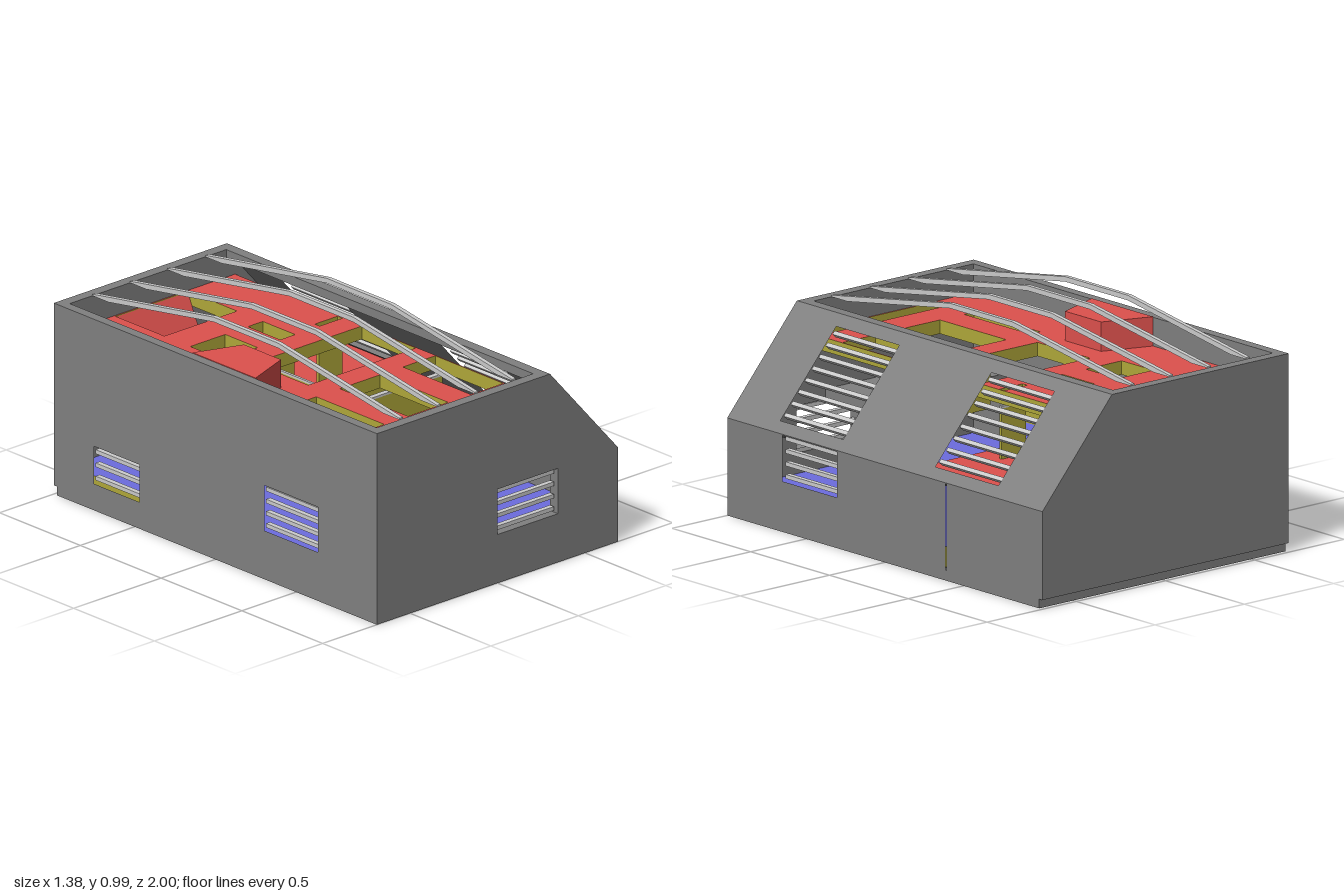
import * as THREE from 'three';

const mat = (color) => new THREE.MeshStandardMaterial({ color, flatShading: true });
const wall = mat(0x808080), light = mat(0xcccccc), red = mat(0xdd514d);
const blue = mat(0x6c6cde), olive = mat(0xb0a83a);

// Rectangle as a list of corners
const rect = (x0, y0, x1, y1) => [[x0, y0], [x1, y0], [x1, y1], [x0, y1]];

// Flat plate: outline with holes, extruded along +z
function plate(outline, holes, depth) {
  const toVec = (pts) => pts.map(([x, y]) => new THREE.Vector2(x, y));
  const shape = new THREE.Shape(toVec(outline));
  for (const h of holes) shape.holes.push(new THREE.Path(toVec(h)));
  return new THREE.ExtrudeGeometry(shape, { depth, bevelEnabled: false });
}

export function createModel() {
  const model = new THREE.Group();

  function add(parent, name, geometry, material) {
    const mesh = new THREE.Mesh(geometry, material);
    mesh.name = name;
    parent.add(mesh);
    return mesh;
  }
  function box(parent, name, x0, x1, y0, y1, z0, z1, material) {
    const g = new THREE.BoxGeometry(x1 - x0, y1 - y0, z1 - z0);
    g.translate((x0 + x1) / 2, (y0 + y1) / 2, (z0 + z1) / 2);
    return add(parent, name, g, material);
  }
  // Wall in the z-y plane, from x to x + depth
  const sideWall = (parent, name, outline, holes, x, depth) => {
    const flip = (pts) => pts.map(([z, y]) => [-z, y]);
    const g = plate(flip(outline), holes.map(flip), depth).rotateY(Math.PI / 2).translate(x, 0, 0);
    return add(parent, name, g, wall);
  };
  // Horizontal slab in the x-z plane, its top at y
  const slab = (name, outline, holes, y, depth, materials) =>
    add(model, name, plate(outline, holes, depth).rotateX(Math.PI / 2).translate(0, y, 0), materials);
  // Louvre bars along z, evenly spaced between y0 and y1
  function louvresZ(parent, name, x, y0, y1, z0, z1, count) {
    for (let i = 0; i < count; i++) {
      const y = y0 + ((y1 - y0) * (i + 0.4)) / count;
      box(parent, name, x - 0.012, x + 0.012, y - 0.009, y + 0.009, z0, z1, light);
    }
  }

  // Gable walls; the back one steps in along its foot
  const gable = (foot) => [[-0.69, foot], [0.69, foot], [0.69, 0.425], [0.3, 0.865], [-0.69, 0.865]];
  add(model, 'frontWall', plate(gable(0), [rect(0, 0.22, 0.345, 0.425)], 0.05).translate(0, 0, 0.95), wall);
  add(model, 'backWall', plate(gable(0), [], 0.03).translate(0, 0, -0.98), wall);
  add(model, 'backWallFace', plate(gable(0.04), [], 0.02).translate(0, 0, -1), wall);
  for (let i = 0; i < 4; i++) {
    const y = 0.242 + i * 0.056;
    box(model, 'frontLouvre', 0, 0.335, y - 0.009, y + 0.009, 0.962, 0.986, light);
  }

  // Left wall with two windows
  sideWall(model, 'leftWall', rect(-0.95, 0, 0.95, 0.865),
    [rect(0.305, 0.22, 0.635, 0.425), rect(-0.75, 0.12, -0.47, 0.29)], -0.69, 0.045);
  louvresZ(model, 'leftFrontLouvre', -0.67, 0.22, 0.44, 0.305, 0.635, 4);
  louvresZ(model, 'leftBackLouvre', -0.67, 0.12, 0.3, -0.75, -0.47, 3);

  // Right wall with a window and a narrow joint
  sideWall(model, 'rightWall', rect(-0.95, 0, 0.95, 0.425),
    [rect(0.305, 0.22, 0.65, 0.42), rect(-0.393, 0.045, -0.386, 0.42)], 0.645, 0.045);
  louvresZ(model, 'rightLouvre', 0.67, 0.22, 0.44, 0.305, 0.64, 4);

  // Sloping roof side with two louvred windows
  const slope = new THREE.Group();
  slope.name = 'slopingRoof';
  slope.position.set(0.69, 0.425, 0);
  slope.rotation.z = Math.atan2(0.39, 0.44);
  const length = Math.hypot(0.39, 0.44);
  const skylights = [[0.305, 0.705], [-0.68, -0.28]];
  sideWall(slope, 'slopePanel', rect(-0.95, 0, 0.95, length),
    skylights.map(([a, b]) => rect(a, 0.055, b, 0.528)), -0.0375, 0.0375);
  for (const [a, b] of skylights) louvresZ(slope, 'slopeLouvre', -0.016, 0.065, 0.535, a, b, 8);
  model.add(slope);
  box(model, 'ridgeBeam', 0.25, 0.3, 0.825, 0.865, -0.95, 0.95, wall);

  // Base and lower floor
  box(model, 'base', -0.65, 0.65, 0, 0.04, -0.96, 0.96, wall);
  slab('lowerFloor', rect(-0.645, -0.95, 0.645, 0.95), [], 0.13, 0.09, [blue, olive]);
  box(model, 'lowerStep', 0.105, 0.3, 0.13, 0.2, -0.16, -0.03, blue);

  // Middle floors
  slab('middleFloor', [[-0.645, -0.95], [0.62, -0.95], [0.62, -0.16], [-0.165, -0.16],
    [-0.165, 0.012], [-0.32, 0.012], [-0.32, -0.16], [-0.645, -0.16]], [], 0.44, 0.05, [red, olive]);
  box(model, 'frontMezzanine', -0.645, 0.185, 0.43, 0.47, 0.635, 0.95, wall);

  // Ramps: side profile extruded across
  add(model, 'lowerRamp', plate([[-0.165, 0.13], [-0.055, 0.13], [-0.165, 0.44]], [], 0.15)
    .translate(0, 0, -0.03), blue);
  add(model, 'upperRamp', plate([[0.945, 0.44], [0.945, 0.735], [0.8, 0.44]], [], 0.415)
    .rotateY(Math.PI / 2).translate(-0.39, 0, 0), red);

  // Partitions
  const partition = (x0, x1, y0, y1, z0, z1) => {
    box(model, 'partition', x0, x1, y0, y1, z0, z1, olive);
    box(model, 'partitionCap', x0, x1, y1, y1 + 0.01, z0, z1, light);
  };
  partition(-0.177, -0.165, 0.13, 0.66, -0.16, 0.175);
  partition(-0.175, 0.3, 0.45, 0.66, 0.31, 0.335);
  partition(-0.06, 0.025, 0.44, 0.66, -0.3, -0.285);
  partition(0.165, 0.3, 0.44, 0.66, -0.3, -0.285);

  // Upper deck with openings
  slab('upperDeck', rect(-0.645, -0.95, 0.3, 0.95), [
    rect(-0.44, 0.295, -0.385, 0.715),
    rect(-0.25, 0.295, -0.02, 0.715),
    rect(0.11, 0.295, 0.295, 0.715),
    rect(-0.44, 0.865, 0.295, 0.945),
    rect(-0.32, -0.16, 0.295, 0.175),
    rect(-0.39, -0.48, -0.19, -0.28),
    rect(-0.06, -0.48, 0.025, -0.28),
    rect(0.165, -0.31, 0.295, -0.28),
    rect(-0.39, -0.945, 0.025, -0.64),
  ], 0.74, 0.06, [red, olive]);
  slab('deckBlock', [[-0.645, -0.19], [-0.425, -0.11], [-0.425, 0.12], [-0.645, 0.2]], [], 0.868, 0.13, red);

  // Bent rafters across the open top
  const t = 0.02;
  const lower = [[-0.95, 0.865], [-0.85, 0.865], [-0.2, 0.968], [0.2, 0.968], [0.85, 0.865], [0.95, 0.865]];
  const upper = [[0.95, 0.872], [0.2, 0.99], [-0.2, 0.99], [-0.95, 0.872]];
  for (let i = 0; i < 4; i++) {
    const x = -0.505 + i * 0.215;
    add(model, 'rafter', plate([...lower, ...upper], [], t).rotateY(-Math.PI / 2).translate(x + t / 2, 0, 0), light);
  }
  return model;
}
